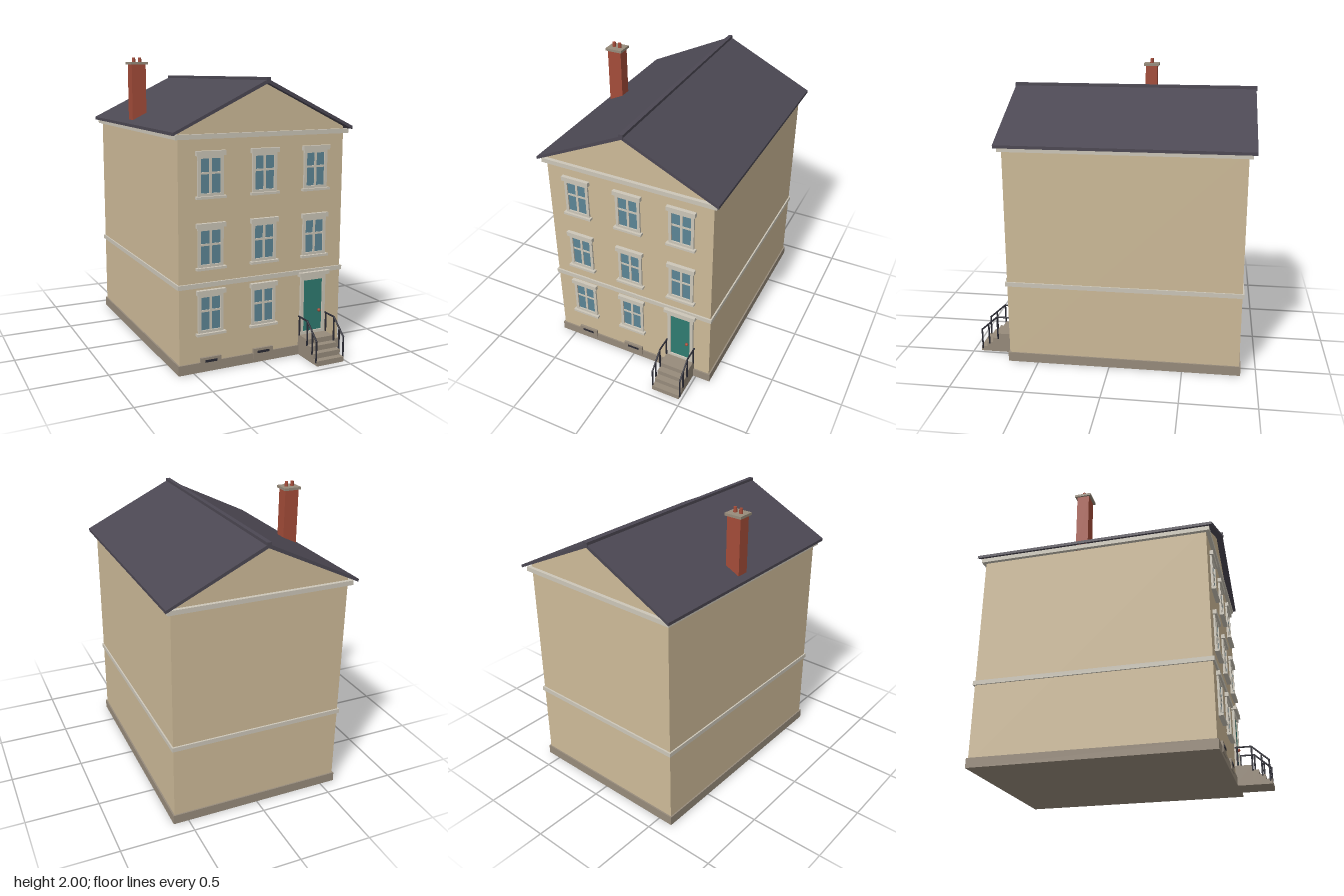
import * as THREE from 'three';

const mat = (name, color) => {
  const m = new THREE.MeshStandardMaterial({ color });
  m.name = name;
  return m;
};

export function createModel() {
  const house = new THREE.Group();
  house.name = 'townHouse';
  const wall = mat('sandWall', 0xcdba98);
  const trim = mat('paleTrim', 0xccc6b8);
  const stone = mat('greyStone', 0x978b7b);
  const slate = mat('slateRoof', 0x4c4853);
  const brick = mat('redBrick', 0xa34c39);
  const glass = mat('blueGlass', 0x5c8595);
  const teal = mat('tealPaint', 0x2f7b71);
  const iron = mat('darkIron', 0x2b2b34);

  const add = (name, geo, material, parent = house) => {
    const mesh = new THREE.Mesh(geo, material);
    mesh.name = name;
    parent.add(mesh);
    return mesh;
  };
  // box given by its limits on each axis
  const box = (name, material, [x0, x1], [y0, y1], [z0, z1], parent) => {
    const geo = new THREE.BoxGeometry(x1 - x0, y1 - y0, z1 - z0);
    geo.translate((x0 + x1) / 2, (y0 + y1) / 2, (z0 + z1) / 2);
    return add(name, geo, material, parent);
  };
  // outline in x, y drawn out from z0 to z1
  const prism = (name, material, points, z0, z1) => {
    const shape = new THREE.Shape(points.map(([x, y]) => new THREE.Vector2(x, y)));
    const geo = new THREE.ExtrudeGeometry(shape, { depth: z1 - z0, bevelEnabled: false });
    geo.translate(0, 0, z0);
    return add(name, geo, material);
  };
  const rod = (name, a, b, r, parent) => {
    const dir = b.clone().sub(a);
    const mesh = add(name, new THREE.CylinderGeometry(r, r, dir.length(), 8), iron, parent);
    mesh.position.copy(a).add(b).multiplyScalar(0.5);
    mesh.quaternion.setFromUnitVectors(new THREE.Vector3(0, 1, 0), dir.normalize());
  };

  // walls with both gables, and the bands around them
  prism('walls', wall, [[-0.595, 0.03], [0.595, 0.03], [0.595, 1.545], [0, 1.835], [-0.595, 1.545]], -0.885, 0.7);
  box('plinth', stone, [-0.605, 0.605], [0, 0.065], [-0.895, 0.71]);
  box('beltCourse', trim, [-0.605, 0.605], [0.562, 0.592], [-0.897, 0.712]);
  box('cornice', trim, [-0.62, 0.62], [1.5, 1.53], [-0.91, 0.725]);

  // roof
  prism('roof', slate, [[-0.64, 1.527], [0, 1.833], [0.64, 1.527], [0.64, 1.547], [0, 1.858], [-0.64, 1.547]], -0.935, 0.745);
  box('ridgeCap', slate, [-0.015, 0.015], [1.84, 1.87], [-0.94, 0.75]);

  // chimney
  box('chimneyStack', brick, [-0.597, -0.495], [1.5, 1.95], [-0.213, -0.127]);
  box('chimneyCap', stone, [-0.608, -0.484], [1.95, 1.967], [-0.227, -0.113]);
  for (const x of [-0.568, -0.524]) {
    add('chimneyPot', new THREE.CylinderGeometry(0.011, 0.013, 0.035, 12), brick).position.set(x, 1.9825, -0.17);
  }

  // windows; y is the bottom of the sill
  const addWindow = (x, y) => {
    const g = new THREE.Group();
    g.name = 'window';
    g.position.set(x, y, 0);
    house.add(g);
    for (const s of [-1, 1]) {
      const jamb = [0.068 * s, 0.088 * s].sort((a, b) => a - b);
      box('jamb', trim, jamb, [0.015, 0.27], [0.69, 0.713], g);
    }
    box('headFrame', trim, [-0.068, 0.068], [0.25, 0.27], [0.69, 0.713], g);
    box('bottomFrame', trim, [-0.068, 0.068], [0.015, 0.033], [0.69, 0.713], g);
    box('glass', glass, [-0.068, 0.068], [0.033, 0.25], [0.697, 0.704], g);
    box('uprightBar', trim, [-0.008, 0.008], [0.033, 0.25], [0.7, 0.709], g);
    box('crossBar', trim, [-0.068, 0.068], [0.152, 0.166], [0.7, 0.708], g);
    box('sill', trim, [-0.102, 0.102], [0, 0.016], [0.69, 0.73], g);
    box('lintel', trim, [-0.1, 0.1], [0.268, 0.298], [0.69, 0.726], g);
  };
  for (const y of [0.247, 0.677, 1.129]) {
    for (const x of [-0.38, 0, 0.38]) {
      if (x > 0 && y < 0.5) continue;
      addWindow(x, y);
    }
  }

  // basement vents
  for (const x of [-0.38, 0]) {
    box('ventSurround', stone, [x - 0.072, x + 0.072], [0.027, 0.096], [0.69, 0.716]);
    box('ventSlot', iron, [x - 0.043, x + 0.043], [0.064, 0.08], [0.714, 0.719]);
  }

  // front door
  const door = new THREE.Group();
  door.name = 'frontDoor';
  house.add(door);
  box('doorFrame', trim, [0.282, 0.305], [0.14, 0.55], [0.69, 0.718], door);
  box('doorFrame', trim, [0.451, 0.474], [0.14, 0.55], [0.69, 0.718], door);
  box('doorFrameTop', trim, [0.305, 0.451], [0.518, 0.55], [0.69, 0.718], door);
  box('threshold', trim, [0.305, 0.451], [0.14, 0.16], [0.69, 0.718], door);
  box('doorLeaf', teal, [0.305, 0.451], [0.16, 0.518], [0.69, 0.709], door);
  box('doorHood', trim, [0.262, 0.494], [0.55, 0.576], [0.69, 0.737], door);
  add('doorKnob', new THREE.SphereGeometry(0.012, 12, 8), brick, door).position.set(0.429, 0.295, 0.716);

  // landing and steps
  box('landing', stone, [0.275, 0.48], [0, 0.14], [0.69, 0.817]);
  for (let i = 0; i < 3; i++) {
    const z = 0.817 + i * 0.043;
    box('step', stone, [0.275, 0.48], [0, 0.105 - i * 0.035], [z, z + 0.043]);
  }

  // railings on both sides of the steps
  for (const x of [0.274, 0.483]) {
    const g = new THREE.Group();
    g.name = 'railing';
    house.add(g);
    const p = (y, z) => new THREE.Vector3(x, y, z);
    rod('topRail', p(0.27, 0.705), p(0.27, 0.822), 0.006, g);
    rod('slopingRail', p(0.27, 0.82), p(0.165, 0.937), 0.006, g);
    const posts = [[0.14, 0.27, 0.72], [0.1, 0.27, 0.82], [0.06, 0.214, 0.884], [0.02, 0.168, 0.934]];
    for (const [y0, y1, z] of posts) rod('post', p(y0, z), p(y1, z), 0.006, g);
  }

  return house;
}
